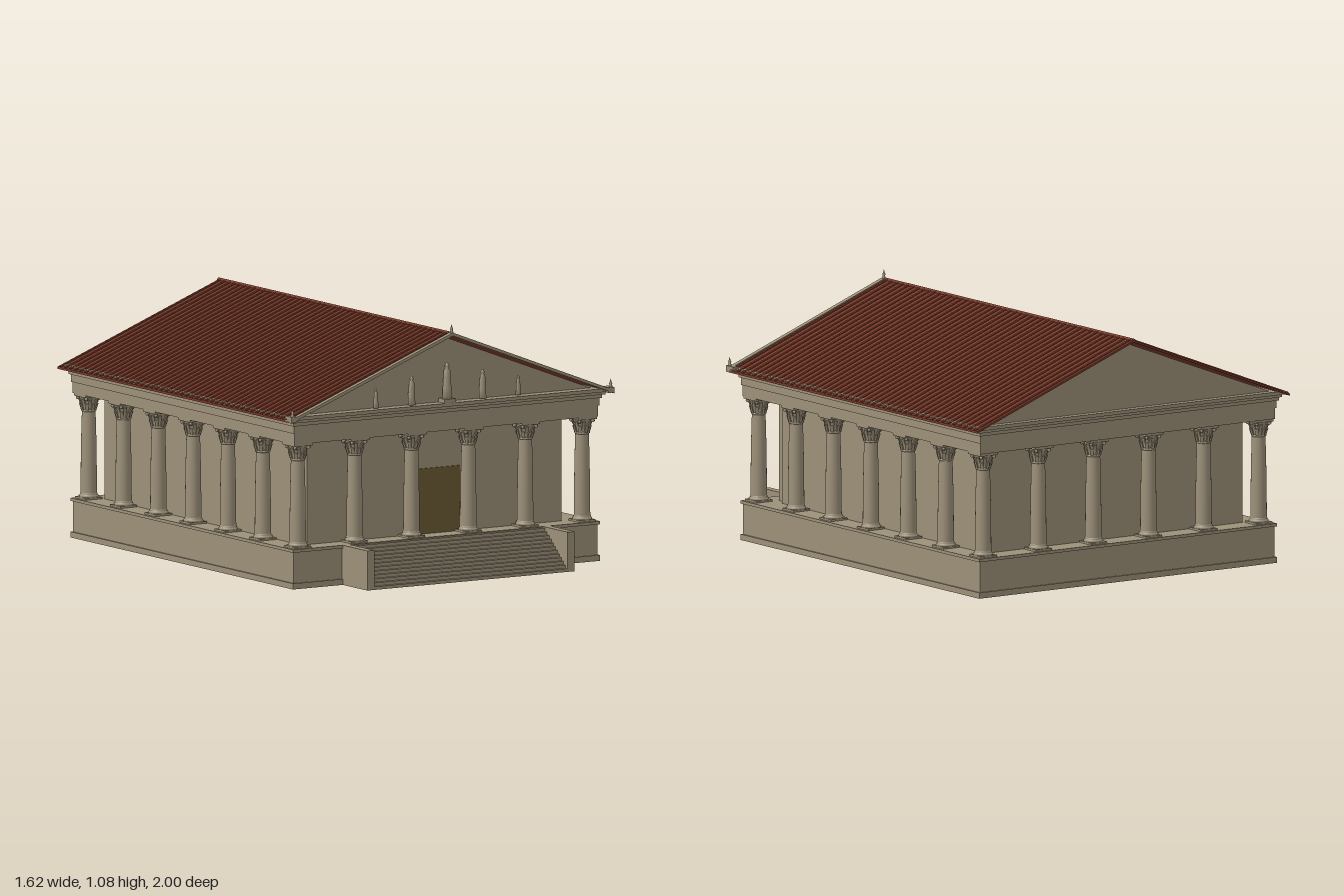
import * as THREE from 'three';
import { mergeGeometries } from 'three/addons/utils/BufferGeometryUtils.js';

const stone = new THREE.MeshStandardMaterial({ color: 0x9c9079 });
const tile = new THREE.MeshStandardMaterial({ color: 0x7a3b2a });
const bronze = new THREE.MeshStandardMaterial({ color: 0x6b5a35 });

const MID_Z = -0.076;           // centre of the colonnade
const EAVE_X = 0.81, EAVE_Y = 0.735, RIDGE_Y = 1.046;
const SLOPE = Math.atan2(RIDGE_Y - EAVE_Y, EAVE_X);
const SLOPE_LEN = Math.hypot(RIDGE_Y - EAVE_Y, EAVE_X);

export function createModel() {
  const model = new THREE.Group();
  model.name = 'temple';

  const add = (name, geometry, material = stone, parent = model) => {
    const mesh = new THREE.Mesh(geometry, material);
    mesh.name = name;
    parent.add(mesh);
    return mesh;
  };
  // Box given by its limits on each axis
  const boxGeo = (x0, x1, y0, y1, z0, z1) =>
    new THREE.BoxGeometry(x1 - x0, y1 - y0, z1 - z0)
      .translate((x0 + x1) / 2, (y0 + y1) / 2, (z0 + z1) / 2);
  const box = (name, x0, x1, y0, y1, z0, z1, material) =>
    add(name, boxGeo(x0, x1, y0, y1, z0, z1), material);
  // Symmetrical slab around the colonnade centre
  const slab = (name, hx, hz, y0, y1) =>
    box(name, -hx, hx, y0, y1, MID_Z - hz, MID_Z + hz);
  // Outline in x and y, extruded from z0 to z1
  const prism = (points, z0, z1) =>
    new THREE.ExtrudeGeometry(new THREE.Shape(points.map(p => new THREE.Vector2(...p))),
      { depth: z1 - z0, bevelEnabled: false }).translate(0, 0, z0);
  const lathe = (points, sides) =>
    new THREE.LatheGeometry(points.map(p => new THREE.Vector2(...p)), sides);

  // Podium
  slab('podiumPlinth', 0.77, 0.882, 0, 0.025);
  slab('podiumBody', 0.762, 0.875, 0.025, 0.157);
  slab('podiumCap', 0.77, 0.882, 0.157, 0.17);

  // Front stairs between two cheek walls
  const STEPS = 12, tread = 0.195 / STEPS;
  for (let i = 0; i < STEPS; i++) {
    const z1 = 1 - i * tread;
    box('step', -0.485, 0.485, 0, 0.165 * (i + 1) / STEPS, z1 - tread, z1);
  }
  for (const s of [-1, 1]) {
    box('stairCheek', s * 0.5025 - 0.0175, s * 0.5025 + 0.0175, 0, 0.17, 0.8, 1);
  }

  // Inner chamber and door
  box('chamber', -0.665, 0.665, 0.17, 0.63, -0.855, 0.65);
  box('chamberFront', -0.638, 0.638, 0.17, 0.63, 0.65, 0.71);
  box('door', -0.125, 0.125, 0.17, 0.45, 0.7, 0.715, bronze);

  // Column: square plinth, turned base and shaft, leafy capital, abacus
  const leaves = [];
  for (const [count, r, y, h, lean, turn] of
    [[8, 0.034, 0.565, 0.03, 0.3, 0], [8, 0.037, 0.586, 0.03, 0.4, 0.5]]) {
    for (let i = 0; i < count; i++) {
      leaves.push(new THREE.BoxGeometry(0.014, h, 0.005)
        .rotateX(lean).translate(0, y, r)
        .rotateY((i + turn) * Math.PI * 2 / count));
    }
  }
  for (let i = 0; i < 4; i++) {   // corner scrolls
    leaves.push(new THREE.CylinderGeometry(0.008, 0.008, 0.012, 10)
      .rotateZ(Math.PI / 2).translate(0, 0.602, 0.047)
      .rotateY(Math.PI / 4 + i * Math.PI / 2));
  }
  const columnGeo = mergeGeometries([
    boxGeo(-0.042, 0.042, 0.17, 0.178, -0.042, 0.042),
    lathe([[0.041, 0.178], [0.043, 0.182], [0.041, 0.186], [0.036, 0.188],
      [0.038, 0.192], [0.035, 0.196]], 20),
    lathe([[0.035, 0.196], [0.034, 0.32], [0.032, 0.44], [0.029, 0.548]], 20),
    lathe([[0.029, 0.544], [0.033, 0.547], [0.033, 0.551], [0.029, 0.554]], 20),
    lathe([[0.029, 0.554], [0.031, 0.575], [0.036, 0.595], [0.043, 0.61]], 20),
    ...leaves,
    boxGeo(-0.046, 0.046, 0.609, 0.622, -0.046, 0.046),
  ]);
  const columns = new THREE.Group();
  columns.name = 'colonnade';
  model.add(columns);
  for (let i = 0; i < 6; i++) {
    for (let j = 0; j < 7; j++) {
      if (i > 0 && i < 5 && j > 0 && j < 6) continue;
      add('column', columnGeo, stone, columns)
        .position.set(-0.713 + i * 0.2852, 0, MID_Z + 0.829 - j * 0.2763);
    }
  }

  // Entablature, stepping outwards to the cornice
  [['architrave', 0.762, 0.62, 0.667], ['frieze', 0.766, 0.667, 0.7],
    ['bedMoulding', 0.774, 0.7, 0.715], ['lowerCornice', 0.784, 0.715, 0.727],
    ['cornice', 0.794, 0.727, 0.742]]
    .forEach(([name, hx, y0, y1]) => slab(name, hx, hx + 0.118, y0, y1));

  // Gable body, set slightly below the roof
  add('pediment', prism([[-0.74, 0.74], [0.74, 0.74], [0, 1.02]], -0.955, 0.785));

  // Roof sheet and the pale raking cornice along the front edge
  const chevron = (drop, t) => [
    [-EAVE_X, EAVE_Y - drop], [-EAVE_X, EAVE_Y - drop - t], [0, RIDGE_Y - drop - t],
    [EAVE_X, EAVE_Y - drop - t], [EAVE_X, EAVE_Y - drop], [0, RIDGE_Y - drop]];
  add('roof', prism(chevron(0.005, 0.009), -1, 0.835), tile);
  add('rakingCornice', prism(chevron(0, 0.014), 0.835, 0.858));

  // Tile ribs running down both slopes
  const ribs = [], RIBS = 46, pitch = 1.835 / RIBS;
  for (const s of [-1, 1]) {
    for (let i = 0; i < RIBS; i++) {
      ribs.push(new THREE.BoxGeometry(SLOPE_LEN, 0.008, 0.012)
        .rotateZ(-s * SLOPE)
        .translate(s * EAVE_X / 2, (EAVE_Y + RIDGE_Y) / 2 - 0.004, -1 + (i + 0.5) * pitch));
    }
  }
  add('roofTileRibs', mergeGeometries(ribs), tile);
  add('ridgeCap', new THREE.CylinderGeometry(0.009, 0.009, 1.835, 10)
    .rotateX(Math.PI / 2).translate(0, RIDGE_Y - 0.007, -0.0825), tile);

  // Finials at the ridge and the two front corners
  const finialGeo = lathe([[0, 0], [0.008, 0], [0.008, 0.008], [0.005, 0.012],
    [0.007, 0.02], [0.003, 0.03], [0, 0.042]], 10);
  for (const [x, y] of [[0, RIDGE_Y - 0.006], [-0.798, 0.744], [0.798, 0.744]]) {
    add('finial', finialGeo).position.set(x, y, 0.846);
  }
  for (const s of [-1, 1]) {
    box('finialBase', s * 0.795 - 0.015, s * 0.795 + 0.015, 0.725, 0.748, 0.806, 0.858);
  }

  // Standing figures in the gable, tallest in the middle
  const figureGeo = lathe([[0, 0], [0.15, 0], [0.14, 0.3], [0.115, 0.6], [0.105, 0.78],
    [0.06, 0.83], [0.075, 0.9], [0.055, 0.97], [0, 1]], 14);
  for (const [x, h] of [[-0.357, 0.085], [-0.178, 0.125], [0, 0.155], [0.178, 0.125], [0.357, 0.085]]) {
    const y = x === 0 ? 0.758 : 0.745;
    const figure = add('gableFigure', figureGeo);
    figure.position.set(x, y, 0.81);
    figure.scale.set(h * 0.9, h, h * 0.8);
  }
  box('figurePedestal', -0.028, 0.028, 0.742, 0.759, 0.785, 0.835);

  return model;
}
